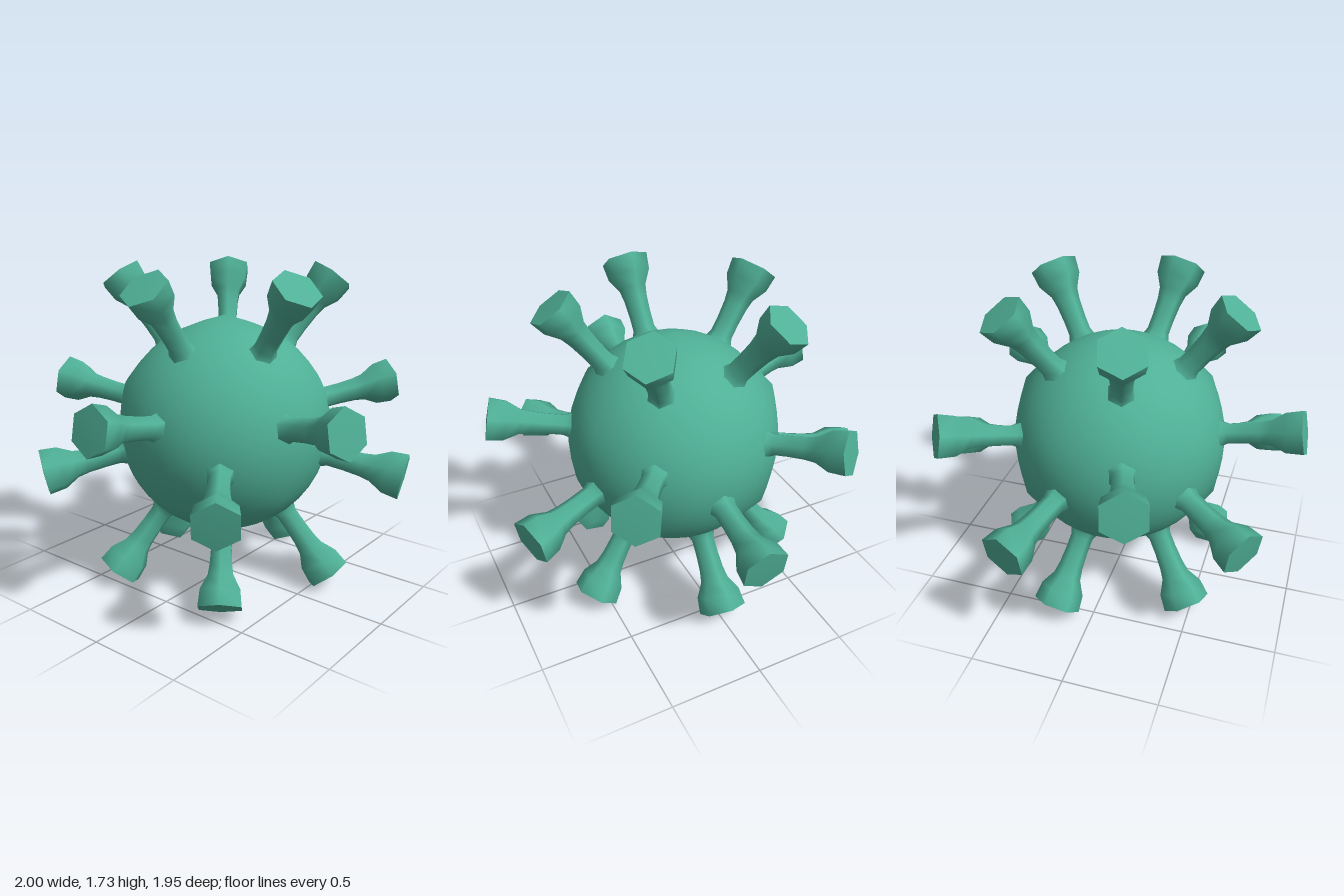
import * as THREE from 'three';
import { toCreasedNormals } from 'three/addons/utils/BufferGeometryUtils.js';

const CENTRE_Y = 0.867;

// Icosahedral sphere turned so one of its corners points straight up
function poleUp(radius, detail) {
  const phi = (1 + Math.sqrt(5)) / 2;
  return new THREE.IcosahedronGeometry(radius, detail).rotateZ(-Math.atan(1 / phi));
}

// Round body that rises slightly to a blunt point at the twelve icosahedron corners
function bodyGeometry() {
  const corners = [];
  const cp = poleUp(1, 0).attributes.position;
  for (let i = 0; i < cp.count; i++) corners.push(new THREE.Vector3().fromBufferAttribute(cp, i));

  const geo = poleUp(1, 7);
  const pos = geo.attributes.position;
  const v = new THREE.Vector3();
  for (let i = 0; i < pos.count; i++) {
    v.fromBufferAttribute(pos, i).normalize();
    const angle = Math.min(...corners.map((c) => c.angleTo(v)));
    const rise = Math.max(0, 1 - angle / 0.4);
    v.multiplyScalar(0.57 + 0.03 * rise * rise);
    pos.setXYZ(i, v.x, v.y, v.z);
  }
  return geo;
}

// Six-sided spike: flared root, thin neck, broad hexagonal head (radius, distance from centre)
function spikeGeometry() {
  const profile = [
    [0.11, 0.52], [0.075, 0.56], [0.06, 0.6], [0.06, 0.68], [0.065, 0.77],
    [0.075, 0.83], [0.117, 0.905], [0.127, 0.994], [0, 1.0],
  ].map(([r, d]) => new THREE.Vector2(r, d));
  const geo = new THREE.LatheGeometry(profile, 6).rotateY(Math.PI / 2);
  return toCreasedNormals(geo, 1.25);
}

export function createModel() {
  const model = new THREE.Group();
  model.name = 'spikedSphere';
  const material = new THREE.MeshStandardMaterial({ color: 0x4fb096 });

  const body = new THREE.Mesh(bodyGeometry(), material);
  body.name = 'body';
  body.position.y = CENTRE_Y;
  model.add(body);

  // Twenty spikes in four rings of five: [elevation, starting azimuth] in degrees
  const rings = [[52.62, 180], [10.81, 180], [-10.81, 0], [-52.62, 0]];
  const spikeGeo = spikeGeometry();
  const spikes = new THREE.Group();
  spikes.name = 'spikes';
  spikes.position.y = CENTRE_Y;
  rings.forEach(([elevation, start], ring) => {
    for (let i = 0; i < 5; i++) {
      const spike = new THREE.Mesh(spikeGeo, material);
      spike.name = `spike${ring * 5 + i + 1}`;
      spike.rotation.set(
        0,
        THREE.MathUtils.degToRad(start + i * 72),
        THREE.MathUtils.degToRad(elevation - 90),
      );
      spikes.add(spike);
    }
  });
  model.add(spikes);
  return model;
}
